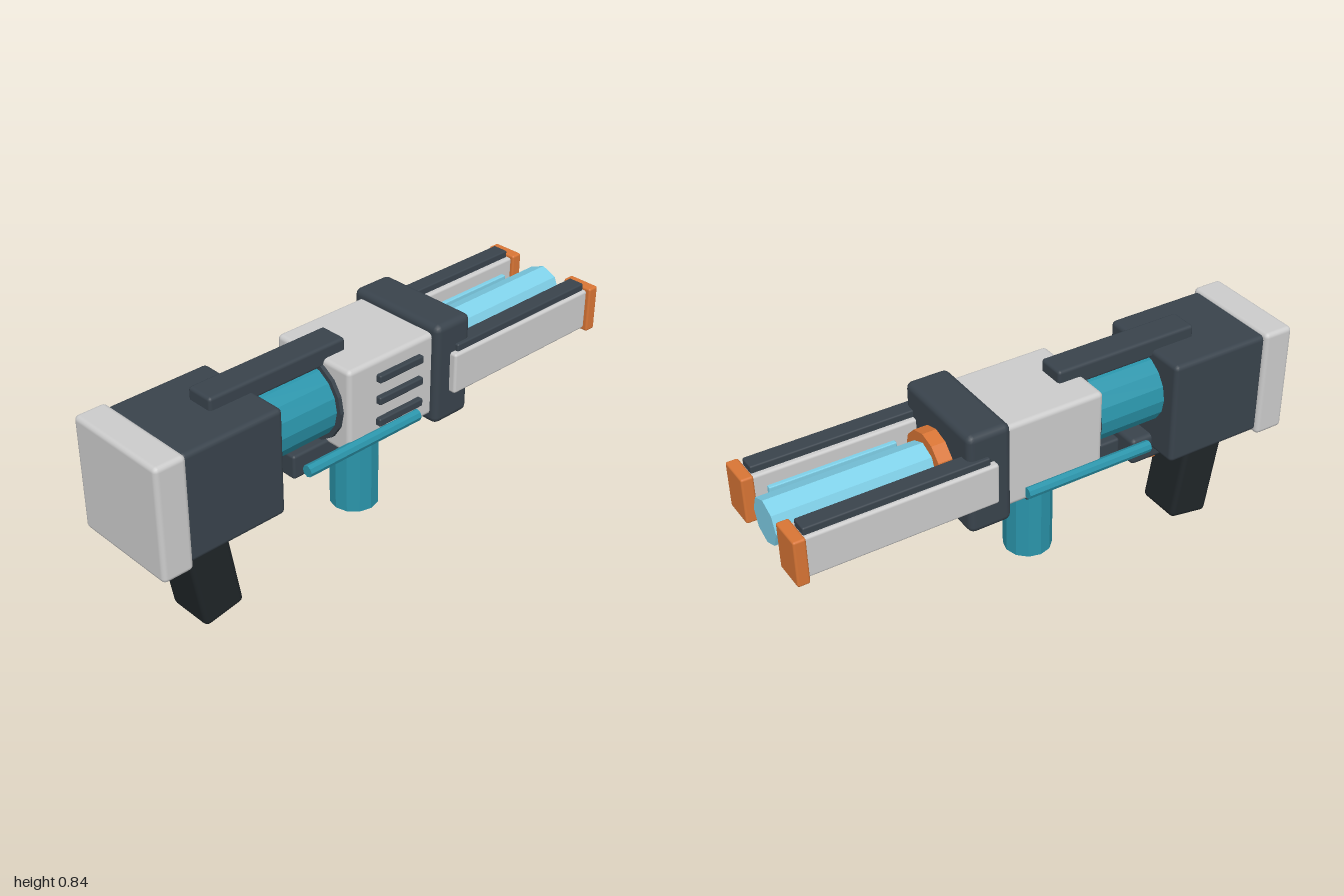
import * as THREE from 'three';
import { RoundedBoxGeometry } from 'three/addons/geometries/RoundedBoxGeometry.js';

const paint = (color) => new THREE.MeshStandardMaterial({ color });
const facet = (color) => { const m = paint(color); m.flatShading = true; return m; };

export function createModel() {
  const model = new THREE.Group();
  model.name = 'blaster';
  const grey = paint(0xcccccc), dark = paint(0x39434c), black = paint(0x1f2528);
  const orange = paint(0xd87535);
  const teal = facet(0x2a94aa), glow = facet(0x7fd0e8);
  const darkFacet = facet(0x39434c), orangeFacet = facet(0xd87535);
  const axisY = 0.635; // barrel centre line

  const add = (name, geometry, material, x, y, z) => {
    const mesh = new THREE.Mesh(geometry, material);
    mesh.name = name;
    mesh.position.set(x, y, z);
    model.add(mesh);
    return mesh;
  };
  // Rounded box given by its extents in x, y and z
  const box = (name, material, [x0, x1], [y0, y1], [z0, z1], r = 0.01) =>
    add(name, new RoundedBoxGeometry(x1 - x0, y1 - y0, z1 - z0, 2, r), material,
      (x0 + x1) / 2, (y0 + y1) / 2, (z0 + z1) / 2);
  // Cylinder lying along x, with a corner pointing straight up
  const rod = (name, material, [x0, x1], radius, sides, y = axisY, z = 0) => {
    const g = new THREE.CylinderGeometry(radius, radius, x1 - x0, sides);
    g.rotateY(Math.PI / 2).rotateZ(Math.PI / 2);
    return add(name, g, material, (x0 + x1) / 2, y, z);
  };

  // Stock and rear body
  box('buttPad', grey, [-1, -0.88], [0.38, 0.81], [-0.21, 0.21], 0.018);
  box('rearBody', dark, [-0.89, -0.49], [0.395, 0.8], [-0.195, 0.195], 0.018);
  box('topRail', dark, [-0.67, -0.095], [0.77, 0.845], [-0.055, 0.055], 0.012);

  // Core and middle body
  rod('core', teal, [-0.52, -0.18], 0.137, 16);
  rod('coreCollar', darkFacet, [-0.21, -0.18], 0.155, 16);
  box('middleBody', grey, [-0.195, 0.21], [0.475, 0.8], [-0.18, 0.18], 0.018);
  for (const y of [0.56, 0.645, 0.73])
    box('vent', dark, [-0.07, 0.135], [y - 0.015, y + 0.015], [0.16, 0.2], 0.006);
  box('frontBlock', dark, [0.19, 0.355], [0.44, 0.83], [-0.208, 0.208], 0.025);

  // Muzzle ring and glowing barrel
  rod('muzzleRing', orangeFacet, [0.34, 0.408], 0.117, 12);
  rod('barrel', glow, [0.35, 0.985], 0.083, 8);

  // Side prongs and side pipes, mirrored
  for (const s of [1, -1]) {
    const span = (a, b) => (s > 0 ? [a, b] : [-b, -a]);
    box('prong', grey, [0.255, 0.96], [0.555, 0.712], span(0.138, 0.235), 0.01);
    box('prongTop', dark, [0.28, 0.952], [0.69, 0.738], span(0.157, 0.221), 0.006);
    box('prongLight', glow, [0.44, 0.91], [0.61, 0.66], span(0.122, 0.145), 0.004);
    box('prongCap', orange, [0.955, 1], [0.545, 0.722], span(0.126, 0.251), 0.008);
    rod('sidePipe', teal, [-0.39, 0.12], 0.022, 8, 0.51, s * 0.188);
  }

  // Underside rail with fore grip
  box('underRail', dark, [-0.35, 0.265], [0.397, 0.49], [-0.074, 0.074], 0.01);
  box('foreGripMount', dark, [-0.075, 0.068], [0.4, 0.445], [-0.105, 0.105], 0.01);
  add('foreGrip', new THREE.CylinderGeometry(0.09, 0.09, 0.29, 12), teal, -0.004, 0.265, 0);

  // Trigger housing, trigger and slanted handle
  box('triggerHousing', dark, [-0.7, -0.405], [0.348, 0.455], [-0.08, 0.08], 0.018);
  add('trigger', new RoundedBoxGeometry(0.036, 0.09, 0.045, 2, 0.006), orange, -0.55, 0.343, 0)
    .rotation.z = 0.17;
  add('handle', new RoundedBoxGeometry(0.168, 0.45, 0.186, 2, 0.02), black, -0.72, 0.237, 0)
    .rotation.z = 0.17;

  return model;
}
